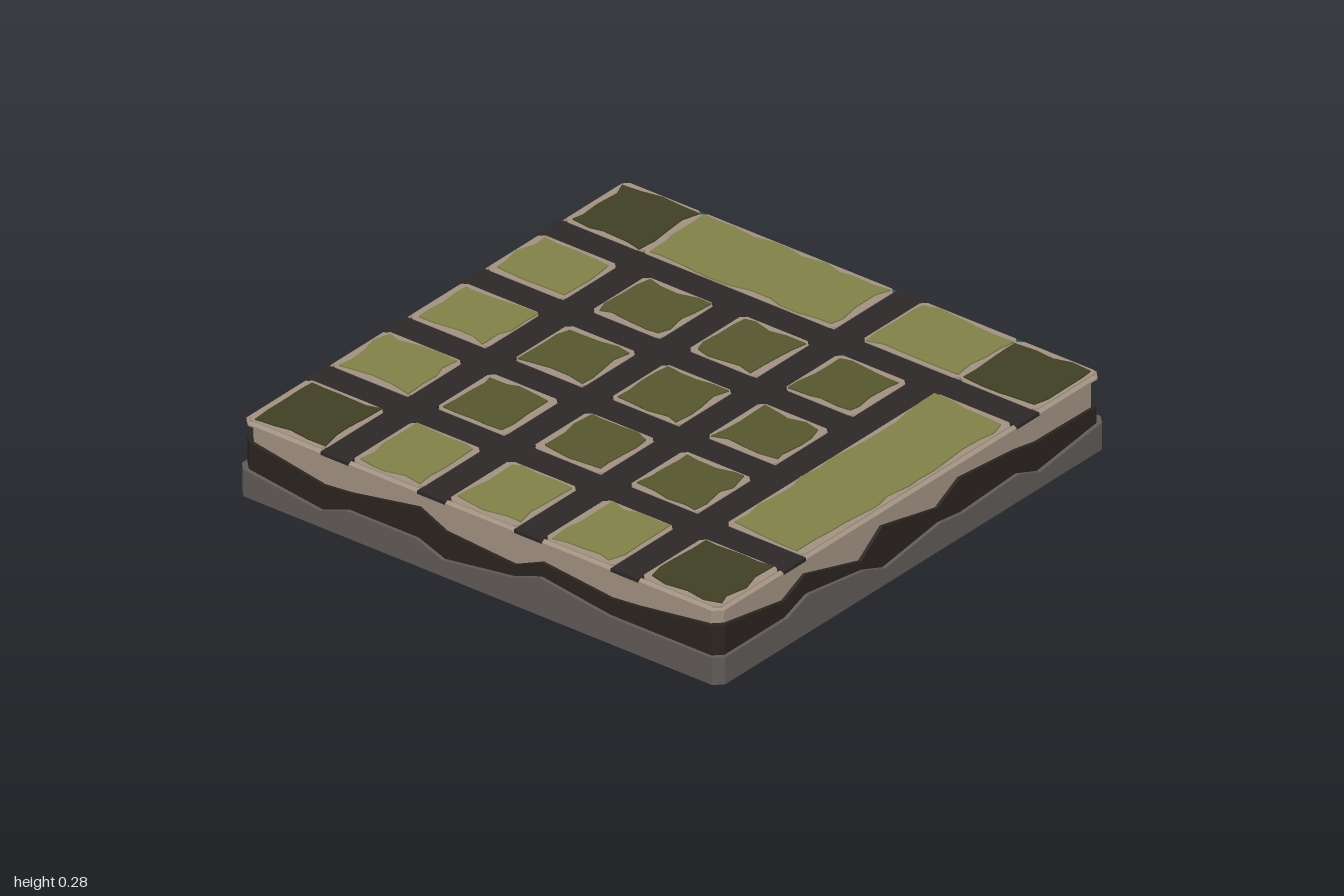
import * as THREE from 'three';

const COLORS = {
  stone: 0x5f5a57, soil: 0x2a241f, clay: 0xa09080, water: 0x1f6470, under: 0x4a423c,
  road: 0x2b2827, corner: 0x404024, inner: 0x56562f, outer: 0x808048,
};
const materials = {};
for (const key in COLORS) {
  materials[key] = new THREE.MeshStandardMaterial({
    color: COLORS[key], flatShading: true, side: THREE.DoubleSide,
  });
}

// Positions along each side where the strata change height
const STOPS = [-0.97, -0.65, -0.54, -0.255, -0.145, 0.14, 0.255, 0.54, 0.65, 0.97];
const N = STOPS.length;

// Strata heights for front, right, back and left, running counter-clockwise from above
const STONE_TOP = [
  0.10, 0.10, 0.14, 0.10, 0.06, 0.10, 0.085, 0.10, 0.06, 0.10,
  0.10, 0.10, 0.05, 0.05, 0.10, 0.10, 0.055, 0.055, 0.10, 0.045,
  0.045, 0.08, 0.10, 0.06, 0.06, 0.10, 0.10, 0.06, 0.10, 0.10,
  0.10, 0.06, 0.10, 0.10, 0.06, 0.10, 0.14, 0.10, 0.10, 0.10,
];
const SOIL_TOP = [
  0.21, 0.16, 0.21, 0.13, 0.21, 0.15, 0.21, 0.185, 0.165, 0.16,
  0.165, 0.125, 0.125, 0.15, 0.15, 0.18, 0.135, 0.135, 0.135, 0.21,
  0.21, 0.15, 0.17, 0.14, 0.16, 0.20, 0.15, 0.15, 0.18, 0.20,
  0.20, 0.15, 0.16, 0.21, 0.16, 0.14, 0.19, 0.16, 0.17, 0.21,
];

// Closed ring with chamfered corners at half-width r; y is a number or a list of heights
function ring(r, y) {
  const points = [];
  for (let side = 0; side < 4; side++) {
    STOPS.forEach((stop, i) => {
      const t = Math.abs(stop) > 0.9 ? Math.sign(stop) * (r - 0.03) : stop;
      const [x, z] = [[t, r], [r, -t], [-t, -r], [-r, t]][side];
      points.push(new THREE.Vector3(x, typeof y === 'number' ? y : y[side * N + i], z));
    });
  }
  return points;
}

// Skin between successive rings over the segments that pass the filter
function skin(name, material, rings, keep = () => true) {
  const positions = [];
  for (let k = 0; k < rings.length - 1; k++) {
    const [low, high] = [rings[k], rings[k + 1]];
    low.forEach((a, i) => {
      if (!keep(i)) return;
      const j = (i + 1) % low.length;
      for (const p of [a, low[j], high[j], a, high[j], high[i]]) positions.push(p.x, p.y, p.z);
    });
  }
  const geometry = new THREE.BufferGeometry();
  geometry.setAttribute('position', new THREE.Float32BufferAttribute(positions, 3));
  geometry.computeVertexNormals();
  const mesh = new THREE.Mesh(geometry, material);
  mesh.name = name;
  return mesh;
}

// Flat slab from an outline of [x, z] points
function slab(name, material, outline, bottom, top) {
  const shape = new THREE.Shape(outline.map(([x, z]) => new THREE.Vector2(x, -z)));
  const geometry = new THREE.ExtrudeGeometry(shape, { depth: top - bottom, bevelEnabled: false });
  geometry.rotateX(-Math.PI / 2).translate(0, bottom, 0);
  const mesh = new THREE.Mesh(geometry, material);
  mesh.name = name;
  return mesh;
}

function chamferedRect(x0, x1, z0, z1, c) {
  return [[x0 + c, z0], [x1 - c, z0], [x1, z0 + c], [x1, z1 - c],
    [x1 - c, z1], [x0 + c, z1], [x0, z1 - c], [x0, z0 + c]];
}

let seed = 7;
function random() {
  seed = (seed * 16807) % 2147483647;
  return seed / 2147483647;
}

// Rectangle with a ragged edge
function raggedRect(x0, x1, z0, z1) {
  const corners = [[x0, z0], [x1, z0], [x1, z1], [x0, z1]];
  const centre = [(x0 + x1) / 2, (z0 + z1) / 2];
  const points = [];
  corners.forEach((a, k) => {
    const b = corners[(k + 1) % 4];
    const steps = Math.max(4, Math.round(Math.hypot(b[0] - a[0], b[1] - a[1]) / 0.075));
    for (let i = 0; i < steps; i++) {
      const p = [0, 1].map((d) => a[d] + (b[d] - a[d]) * (i + (i ? (random() - 0.5) * 0.5 : 0)) / steps);
      points.push(p.map((v, d) => {
        const inward = Math.sign(centre[d] - v);
        const onEdge = i === 0 || Math.abs(a[d] - b[d]) < 1e-6;
        return onEdge ? v + inward * random() * 0.025 : v;
      }));
    }
  });
  return points;
}

export function createModel() {
  const model = new THREE.Group();

  // Layered walls, open underneath
  const stoneTop = ring(1, STONE_TOP);
  const soilBottom = ring(0.987, STONE_TOP);
  const soilTop = ring(0.987, SOIL_TOP);
  const wall = [ring(0.975, SOIL_TOP), ring(0.975, 0.26), ring(0.99, 0.262), ring(0.99, 0.268), ring(0.977, 0.276)];
  const isWater = (i) => i >= N && i < 2 * N - 1;
  model.add(
    skin('stoneLayer', materials.stone, [ring(1, 0), stoneTop, soilBottom]),
    skin('soilLayer', materials.soil, [soilBottom, soilTop, wall[0]]),
    skin('clayLayer', materials.clay, wall, (i) => !isWater(i)),
    skin('waterFace', materials.water, wall, isWater),
    slab('groundPlate', materials.under, chamferedRect(-0.976, 0.976, -0.976, 0.976, 0.03), 0.262, 0.27),
  );

  // Roads: [centre, start, end]; some stop short at the merged blocks
  const roads = new THREE.Group();
  roads.name = 'roads';
  const addRoad = (x0, x1, z0, z1) => roads.add(
    slab('road', materials.road, [[x0, z0], [x1, z0], [x1, z1], [x0, z1]], 0.264, 0.2765));
  for (const [c, a, b] of [[-0.6, -0.992, 0.992], [-0.2, -0.992, 0.652], [0.2, -0.992, 0.652], [0.6, -0.992, 0.992]]) {
    addRoad(c - 0.057, c + 0.057, a, b);
  }
  for (const [c, b] of [[-0.6, 0.655], [-0.2, 0.655], [0.2, 0.992], [0.6, 0.655]]) {
    addRoad(-0.992, b, c - 0.057, c + 0.057);
  }
  model.add(roads);

  // Pavement blocks, each topped by a ragged patch of grass
  const cells = [[-0.977, -0.655], [-0.543, -0.255], [-0.143, 0.143], [0.255, 0.543], [0.655, 0.977]];
  const blocks = new THREE.Group();
  blocks.name = 'cityBlocks';
  const addBlock = (xs, zs, kind) => {
    const [x0, x1, z0, z1] = [...xs, ...zs];
    const inset = (v) => (Math.abs(v) > 0.9 ? 0.008 : Math.abs(v) > 0.64 ? 0.002 : 0.008);
    blocks.add(
      slab('pavement', materials.clay, chamferedRect(x0, x1, z0, z1, 0.018), 0.268, 0.279),
      slab('grassPatch', materials[kind], raggedRect(
        x0 + inset(x0), x1 - inset(x1), z0 + inset(z0), z1 - inset(z1)), 0.276, 0.284),
    );
  };
  cells.forEach((xs, i) => cells.forEach((zs, j) => {
    const edgeX = i === 0 || i === 4;
    const edgeZ = j === 0 || j === 4;
    const merged = (i === 4 && !edgeZ) || (j === 4 && !edgeX);
    if (!merged) addBlock(xs, zs, edgeX && edgeZ ? 'corner' : edgeX || edgeZ ? 'outer' : 'inner');
  }));
  // Merged blocks along the front and the left edge
  addBlock([-0.543, 0.543], cells[4], 'outer');
  addBlock(cells[4], [-0.655, 0.143], 'outer');
  addBlock(cells[4], [0.255, 0.655], 'outer');
  model.add(blocks);

  return model;
}
